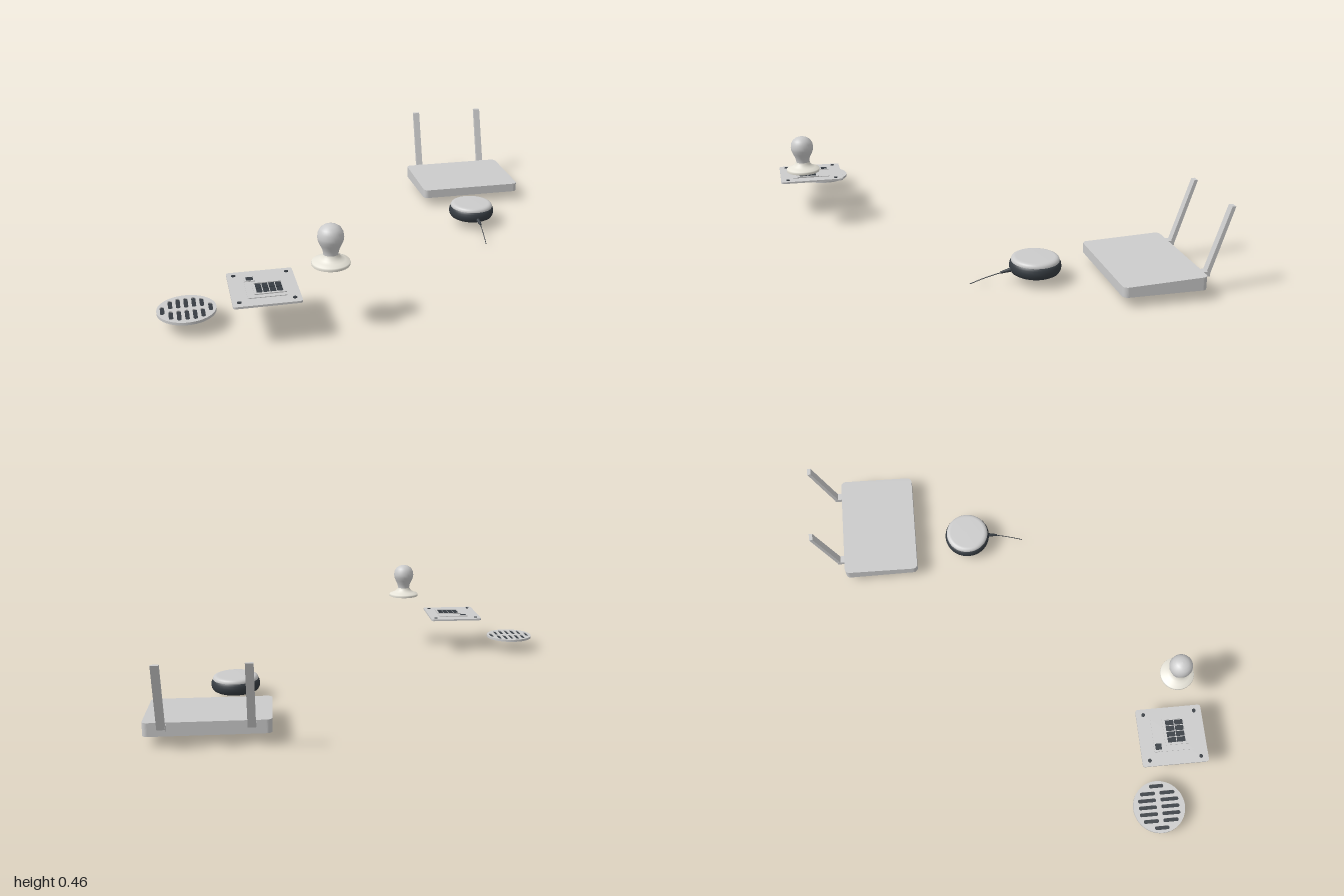
import * as THREE from 'three';

const grey = new THREE.MeshStandardMaterial({ color: 0xcccccc });
const dark = new THREE.MeshStandardMaterial({ color: 0x363c42 });
const cream = new THREE.MeshStandardMaterial({ color: 0xe6e3d8 });

function add(parent, name, geometry, material, x = 0, y = 0, z = 0) {
  const mesh = new THREE.Mesh(geometry, material);
  mesh.name = name;
  mesh.position.set(x, y, z);
  parent.add(mesh);
  return mesh;
}

function group(parent, name, x, y, z) {
  const g = new THREE.Group();
  g.name = name;
  g.position.set(x, y, z);
  parent.add(g);
  return g;
}

// rounded rectangle outline centred on (x, y)
function roundRect(w, h, r, x = 0, y = 0, Type = THREE.Shape) {
  const s = new Type(), a = w / 2 - r, b = h / 2 - r;
  s.absarc(x + a, y + b, r, 0, Math.PI / 2);
  s.absarc(x - a, y + b, r, Math.PI / 2, Math.PI);
  s.absarc(x - a, y - b, r, Math.PI, Math.PI * 1.5);
  s.absarc(x + a, y - b, r, Math.PI * 1.5, Math.PI * 2);
  s.closePath();
  return s;
}

// flat slab rising from y = 0
function slab(shape, height, curveSegments = 8) {
  return new THREE.ExtrudeGeometry(shape, { depth: height, bevelEnabled: false, curveSegments }).rotateX(-Math.PI / 2);
}

function lathe(points, segments = 40) {
  return new THREE.LatheGeometry(points.map(([r, y]) => new THREE.Vector2(r, y)), segments);
}

// router: hollow underneath, lid sloping up to the back
function buildRouter(root) {
  const g = group(root, 'router', 0.733, 0.046, -0.598);
  const slope = (geometry) => {
    const p = geometry.attributes.position;
    for (let i = 0; i < p.count; i++) if (p.getY(i) > 0.02) p.setY(i, p.getY(i) - 0.04 * p.getZ(i));
    geometry.computeVertexNormals();
    return geometry;
  };
  const wall = roundRect(0.534, 0.375, 0.024);
  wall.holes.push(roundRect(0.522, 0.363, 0.018, 0, 0, THREE.Path));
  add(g, 'routerWalls', slope(slab(wall, 0.042)), grey);
  add(g, 'routerLid', slope(slab(roundRect(0.534, 0.375, 0.024), 0.01).translate(0, 0.042, 0)), grey);

  // antennas: leaning blades on short hinges
  const blade = new THREE.Shape([[-0.202, 0.034], [-0.222, 0.034], [-0.319, 0.338], [-0.302, 0.338]]
    .map(([z, y]) => new THREE.Vector2(-z, y)));
  for (const x of [-0.183, 0.184]) {
    const geometry = new THREE.ExtrudeGeometry(blade, { depth: 0.034, bevelEnabled: false });
    geometry.rotateY(Math.PI / 2).translate(-0.017, 0, 0);
    add(g, 'antennaBlade', geometry, grey, x);
    add(g, 'antennaHinge', new THREE.BoxGeometry(0.036, 0.022, 0.042), grey, x, 0.042, -0.203);
  }
}

// round puck with a dark body, pale cap and trailing cable
function buildPuck(root) {
  const g = group(root, 'puck', 0.639, 0, -0.137);
  add(g, 'puckBody', lathe([[0, 0.034], [0.07, 0.035], [0.092, 0.038], [0.106, 0.046], [0.113, 0.058],
    [0.115, 0.072], [0.113, 0.086], [0.108, 0.095], [0.1, 0.1]]), dark);
  add(g, 'puckCap', lathe([[0.107, 0.096], [0.107, 0.102], [0.103, 0.109], [0.096, 0.113], [0.086, 0.115], [0, 0.115]]), grey);
  add(g, 'puckFoot', new THREE.CylinderGeometry(0.06, 0.06, 0.004, 32), dark, 0, 0.033, 0);
  const relief = add(g, 'cableSleeve', new THREE.CylinderGeometry(0.005, 0.01, 0.05, 12), dark, 0, 0.055, 0.132);
  relief.rotation.x = Math.PI / 2 + 0.2;
  const path = new THREE.CatmullRomCurve3([
    new THREE.Vector3(0, 0.052, 0.14), new THREE.Vector3(-0.004, 0.04, 0.187),
    new THREE.Vector3(-0.01, 0.022, 0.24), new THREE.Vector3(-0.016, 0.002, 0.29)]);
  add(g, 'cable', new THREE.TubeGeometry(path, 20, 0.002, 6), dark);
}

// round grille with two rows of slots over a closed base
function buildGrille(root) {
  const g = group(root, 'grille', -0.877, 0.064, 0.662);
  const top = new THREE.Shape().absarc(0, 0, 0.124, 0, Math.PI * 2);
  const slot = (x, y, length) => top.holes.push(roundRect(0.018, length, 0.0088, x, y, THREE.Path));
  for (let i = -2; i <= 2; i++) {
    const length = Math.abs(i) === 2 ? 0.074 : 0.088;
    for (const side of [-1, 1]) slot(i * 0.033, side * (0.01 + length / 2), length);
  }
  slot(-0.1, 0, 0.07);
  slot(0.1, 0, 0.07);
  add(g, 'grilleFace', slab(top, 0.006, 24), grey, 0, 0.006, 0);
  add(g, 'grilleBase', new THREE.CylinderGeometry(0.124, 0.124, 0.006, 48), grey, 0, 0.003, 0);
  add(g, 'slotFloor', new THREE.CylinderGeometry(0.12, 0.12, 0.002, 48), dark, 0, 0.0062, 0);
}

// wall plate with corner screws, sensor window and socket cells
function buildPlate(root) {
  const g = group(root, 'plate', -0.5625, 0.179, 0.753);
  add(g, 'plateBase', slab(roundRect(0.28, 0.316, 0.012), 0.009), grey);
  add(g, 'raisedPanel', slab(roundRect(0.16, 0.19, 0.004), 0.003), grey, 0.005, 0.009, 0.002);
  for (const x of [-0.112, 0.112]) for (const z of [-0.123, 0.123])
    add(g, 'screw', new THREE.CylinderGeometry(0.009, 0.009, 0.004, 16), dark, x, 0.01, z);
  const frame = roundRect(0.132, 0.112, 0.003);
  frame.holes.push(roundRect(0.114, 0.09, 0.002, 0, 0, THREE.Path));
  add(g, 'socketFrame', slab(frame, 0.004), grey, 0.02, 0.012, 0.018);
  for (let i = 0; i < 4; i++) for (const z of [-0.022, 0.022])
    add(g, 'socketCell', new THREE.BoxGeometry(0.024, 0.003, 0.04), dark, -0.022 + i * 0.028, 0.0125, 0.018 + z);
  add(g, 'sensorFrame', new THREE.BoxGeometry(0.044, 0.004, 0.044), grey, -0.05, 0.013, -0.073);
  add(g, 'sensorWindow', new THREE.BoxGeometry(0.03, 0.003, 0.03), dark, -0.05, 0.0145, -0.073);
}

// bulb-shaped knob on a flared flange
function buildKnob(root) {
  const g = group(root, 'knob', -0.289, 0.286, 0.802);
  add(g, 'flange', lathe([[0, 0], [0.08, 0], [0.08, 0], [0.081, 0.008], [0.079, 0.014], [0.06, 0.021],
    [0.046, 0.028], [0.037, 0.038], [0.034, 0.048]]), cream);
  add(g, 'bulb', lathe([[0.032, 0.036], [0.032, 0.052], [0.036, 0.07], [0.046, 0.09], [0.053, 0.108], [0.055, 0.122],
    [0.052, 0.142], [0.043, 0.159], [0.028, 0.17], [0.013, 0.175], [0, 0.176]], 32), grey);
}

export function createModel() {
  const root = new THREE.Group();
  root.name = 'deviceSet';
  buildRouter(root);
  buildPuck(root);
  buildGrille(root);
  buildPlate(root);
  buildKnob(root);
  return root;
}
